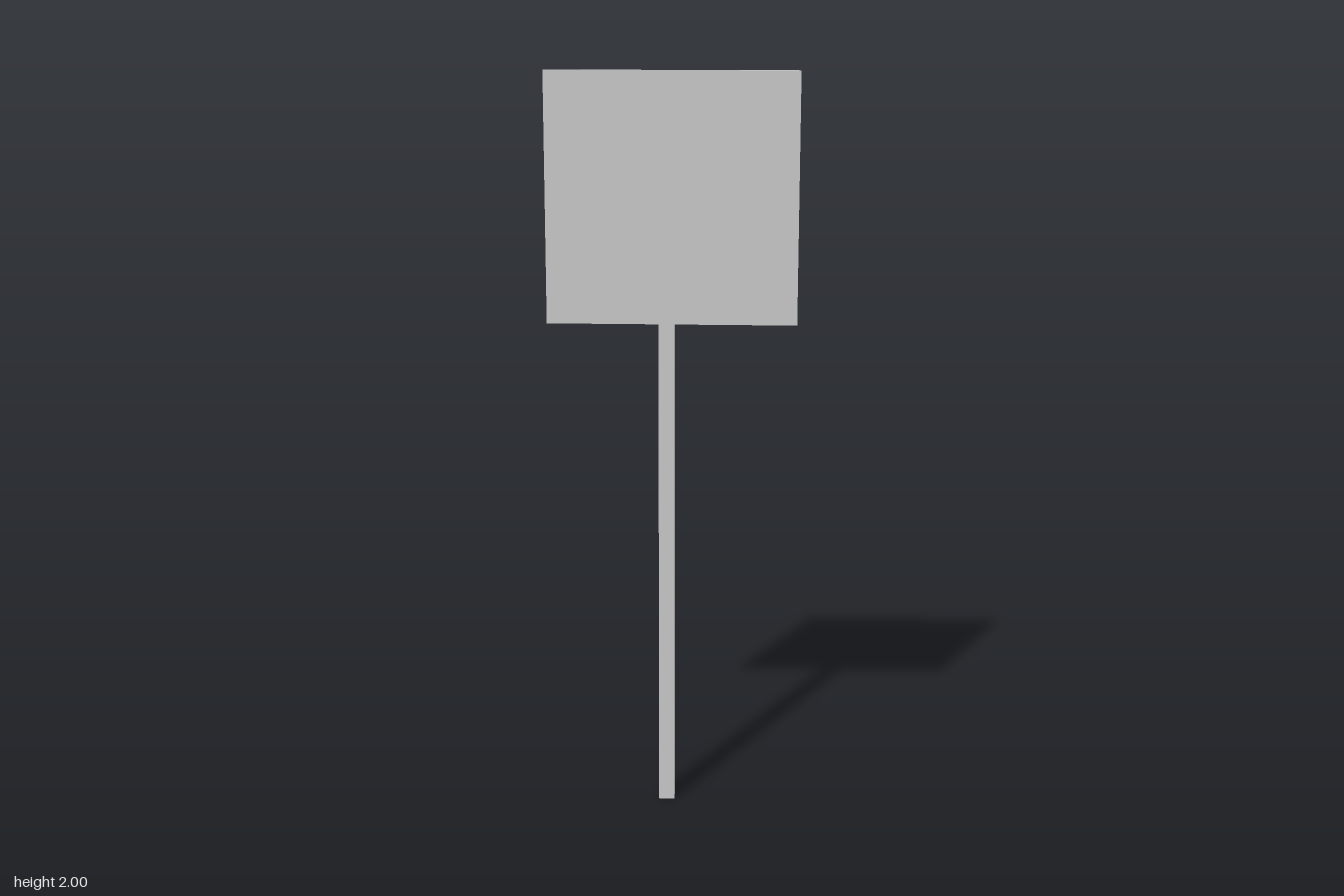
import * as THREE from 'three';

export function createModel() {
  const group = new THREE.Group();
  const material = new THREE.MeshStandardMaterial({ color: 0xcccccc });

  // Box given by its minimum and maximum corners
  const addBox = (name, min, max) => {
    const size = max.map((v, i) => v - min[i]);
    const mesh = new THREE.Mesh(new THREE.BoxGeometry(...size), material);
    mesh.position.set(...max.map((v, i) => (v + min[i]) / 2));
    mesh.name = name;
    group.add(mesh);
  };

  // Square post, slightly off centre behind the panel
  addBox('post', [-0.035, 0, -0.0245], [0.007, 1.81, 0.0172]);
  // Thin square sign panel fixed to the front of the post
  addBox('signPanel', [-0.327, 1.348, 0.0172], [0.327, 2, 0.0245]);

  return group;
}
